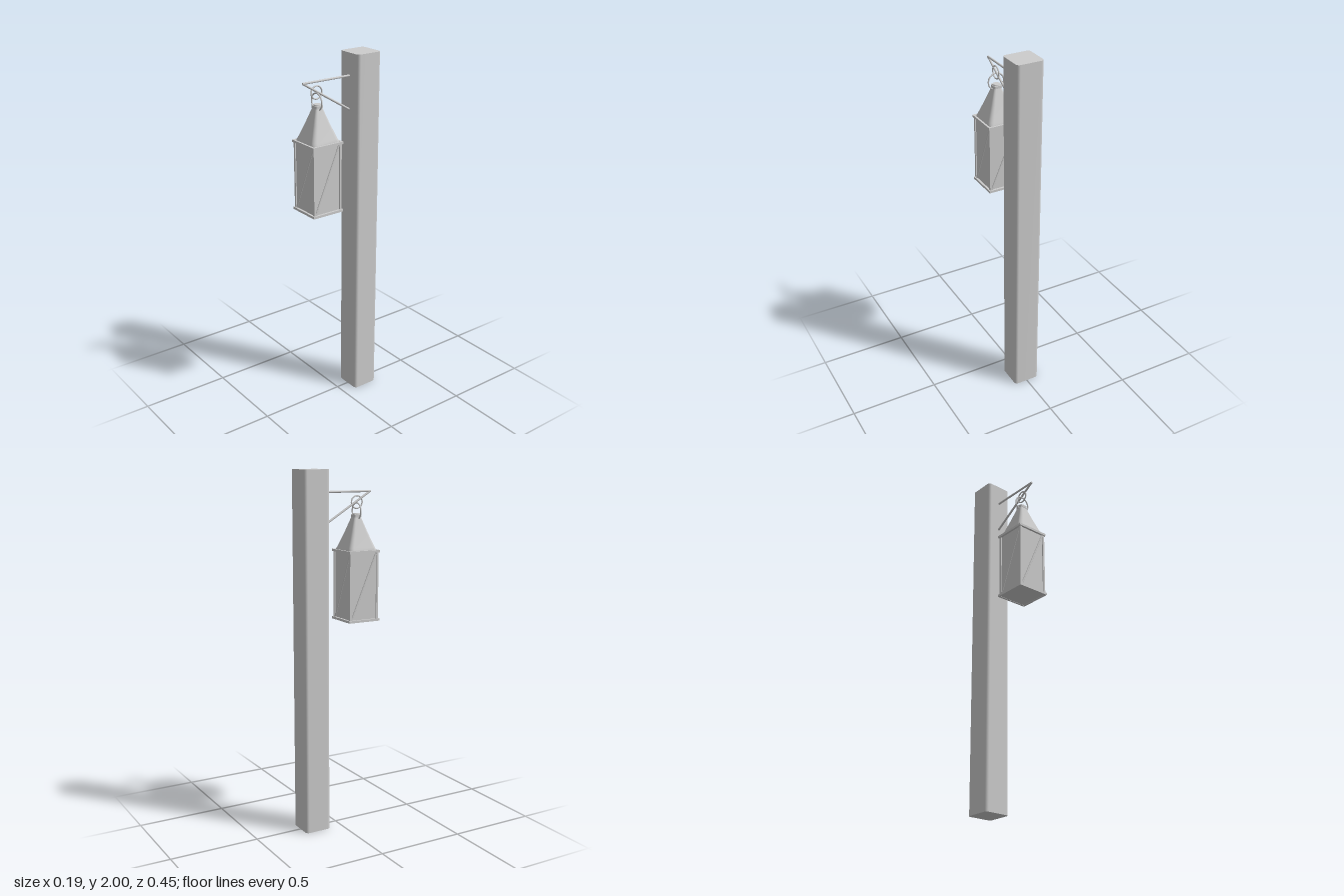
import * as THREE from 'three';

const grey = new THREE.MeshStandardMaterial({ color: 0xcccccc });
grey.name = 'plain grey';

// Outline of a rounded square, counter-clockwise seen from above
function roundedSquare(half, radius, steps = 5) {
  const points = [];
  for (let corner = 0; corner < 4; corner++) {
    const mid = Math.PI / 4 + corner * Math.PI / 2;
    const cx = Math.sign(Math.cos(mid)) * (half - radius);
    const cz = Math.sign(Math.sin(mid)) * (half - radius);
    for (let i = 0; i <= steps; i++) {
      const a = (corner + i / steps) * Math.PI / 2;
      points.push([cx + radius * Math.cos(a), cz + radius * Math.sin(a)]);
    }
  }
  return points;
}

// Smooth walls through rounded squares [half, radius, y], with flat end caps
function loft(sections) {
  const pos = [], index = [];
  const rings = sections.map(([h, r, y]) => roundedSquare(h, r).map(([x, z]) => [x, y, z]));
  const n = rings[0].length;
  rings.forEach(ring => ring.forEach(p => pos.push(...p)));
  for (let k = 0; k < rings.length - 1; k++) {
    for (let i = 0; i < n; i++) {
      const a = k * n + i, b = k * n + (i + 1) % n;
      index.push(a, a + n, b, b, a + n, b + n);
    }
  }
  [0, rings.length - 1].forEach((k, end) => {
    const start = pos.length / 3;
    rings[k].forEach(p => pos.push(...p));
    for (let i = 1; i < n - 1; i++) {
      if (end) index.push(start, start + i + 1, start + i);
      else index.push(start, start + i, start + i + 1);
    }
  });
  const geometry = new THREE.BufferGeometry();
  geometry.setAttribute('position', new THREE.Float32BufferAttribute(pos, 3));
  geometry.setIndex(index);
  geometry.computeVertexNormals();
  return geometry;
}

function add(parent, name, geometry, x = 0, y = 0, z = 0) {
  const mesh = new THREE.Mesh(geometry, grey);
  mesh.name = name;
  mesh.position.set(x, y, z);
  parent.add(mesh);
  return mesh;
}

// Round rod between two points
function rod(parent, name, from, to, radius) {
  const a = new THREE.Vector3(...from), b = new THREE.Vector3(...to);
  const dir = b.clone().sub(a);
  const mesh = add(parent, name, new THREE.CylinderGeometry(radius, radius, dir.length(), 12));
  mesh.position.copy(a).add(b).multiplyScalar(0.5);
  mesh.quaternion.setFromUnitVectors(new THREE.Vector3(0, 1, 0), dir.normalize());
  return mesh;
}

export function createModel() {
  const model = new THREE.Group();
  model.name = 'lanternPost';

  // Wooden post
  add(model, 'post', loft([[0.076, 0.018, 0], [0.076, 0.018, 2]]), 0, 0, -0.152);

  // Bracket with a level arm and a slanted brace
  const bracket = new THREE.Group();
  bracket.name = 'bracket';
  model.add(bracket);
  rod(bracket, 'arm', [0, 1.88, -0.09], [0, 1.88, 0.22], 0.006);
  rod(bracket, 'brace', [0, 1.698, -0.08], [0, 1.88, 0.219], 0.006);

  // Lantern hanging from the bracket
  const lantern = new THREE.Group();
  lantern.name = 'lantern';
  lantern.position.z = 0.13;
  model.add(lantern);
  add(lantern, 'panes', new THREE.BoxGeometry(0.168, 0.386, 0.168), 0, 1.37, 0);

  // Each side repeats its rails, corner post and diagonal bar
  for (let i = 0; i < 4; i++) {
    const side = new THREE.Group();
    side.name = 'lanternSide';
    side.rotation.y = i * Math.PI / 2;
    lantern.add(side);
    for (const y of [1.182, 1.56]) {
      add(side, 'rail', new THREE.BoxGeometry(0.192, 0.013, 0.012), 0, y, 0.09);
    }
    add(side, 'cornerPost', new THREE.BoxGeometry(0.012, 0.37, 0.012), 0.084, 1.37, 0.084);
    rod(side, 'diagonalBar', [-0.078, 1.188, 0.085], [0.078, 1.555, 0.085], 0.005);
  }

  // Tapered roof and its cap
  add(lantern, 'roof', loft([
    [0.086, 0.022, 1.562], [0.085, 0.022, 1.571], [0.08, 0.022, 1.582],
    [0.05, 0.017, 1.662], [0.021, 0.01, 1.745],
  ]));
  add(lantern, 'cap', loft([[0.024, 0.01, 1.742], [0.024, 0.01, 1.756]]));
  add(lantern, 'capTop', new THREE.CylinderGeometry(0.02, 0.022, 0.008, 16), 0, 1.758, 0);

  // Two linked rings
  add(lantern, 'lowerRing', new THREE.TorusGeometry(0.045, 0.004, 8, 32), 0, 1.774, 0.003);
  const upperRing = add(lantern, 'upperRing', new THREE.TorusGeometry(0.034, 0.004, 8, 32), 0, 1.823, 0.004);
  upperRing.rotation.y = Math.PI / 2;

  return model;
}
